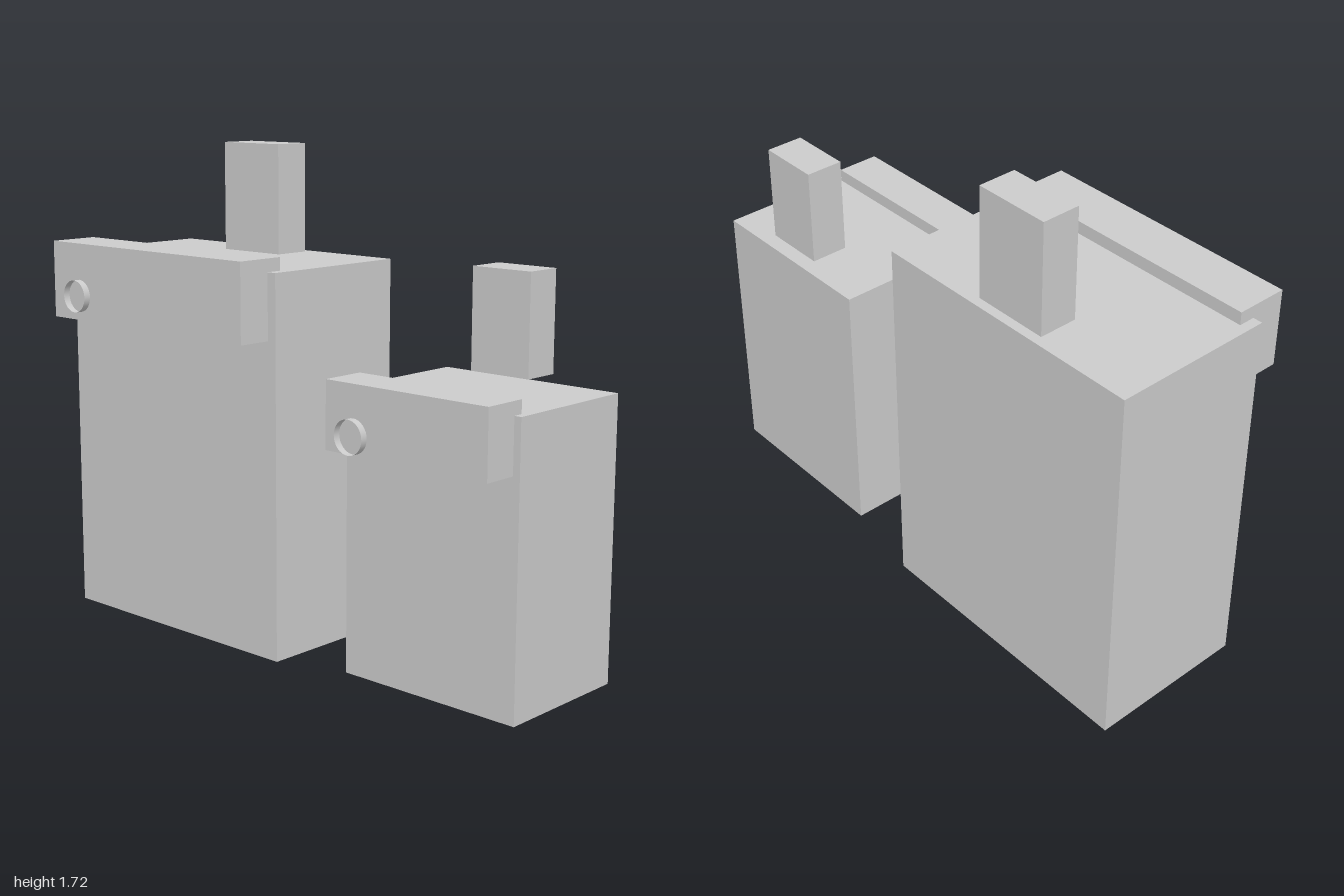
import * as THREE from 'three';

const grey = new THREE.MeshStandardMaterial({ color: 0xcccccc });
const thinGrey = new THREE.MeshStandardMaterial({ color: 0xcccccc, side: THREE.DoubleSide });

// Box given by its extent along each axis
function block(name, [x0, x1], [y0, y1], [z0, z1]) {
  const mesh = new THREE.Mesh(new THREE.BoxGeometry(x1 - x0, y1 - y0, z1 - z0), grey);
  mesh.position.set((x0 + x1) / 2, (y0 + y1) / 2, (z0 + z1) / 2);
  mesh.name = name;
  return mesh;
}

// Thin open band facing forward
function ring(name, x, y, z, radius, depth) {
  const geometry = new THREE.CylinderGeometry(radius, radius, depth, 32, 1, true).rotateX(Math.PI / 2);
  const mesh = new THREE.Mesh(geometry, thinGrey);
  mesh.position.set(x, y, z);
  mesh.name = name;
  return mesh;
}

function unit(name, ...parts) {
  const group = new THREE.Group();
  group.name = name;
  group.add(...parts);
  return group;
}

export function createModel() {
  const model = new THREE.Group();
  model.name = 'twoBoxUnits';
  model.add(
    // Tall unit on the right
    unit('largeUnit',
      block('body', [-1, 0.027], [0, 1.328], [-0.368, 0.204]),
      block('frontPanel', [-0.966, -0.008], [1.1, 1.373], [0.146, 0.328]),
      block('topPost', [-0.625, -0.353], [1.31, 1.717], [-0.334, -0.198]),
      ring('knobRing', -0.81, 1.19, 0.354, 0.057, 0.025)),
    // Shorter unit on the left, standing slightly higher
    unit('smallUnit',
      block('body', [0.315, 1], [0.027, 0.985], [-0.334, 0.171]),
      block('frontPanel', [0.337, 0.975], [0.803, 1.03], [0.136, 0.295]),
      block('topPost', [0.541, 0.769], [1.02, 1.361], [-0.31, -0.176]),
      ring('knobRing', 0.473, 0.871, 0.331, 0.057, 0.025)));
  return model;
}
